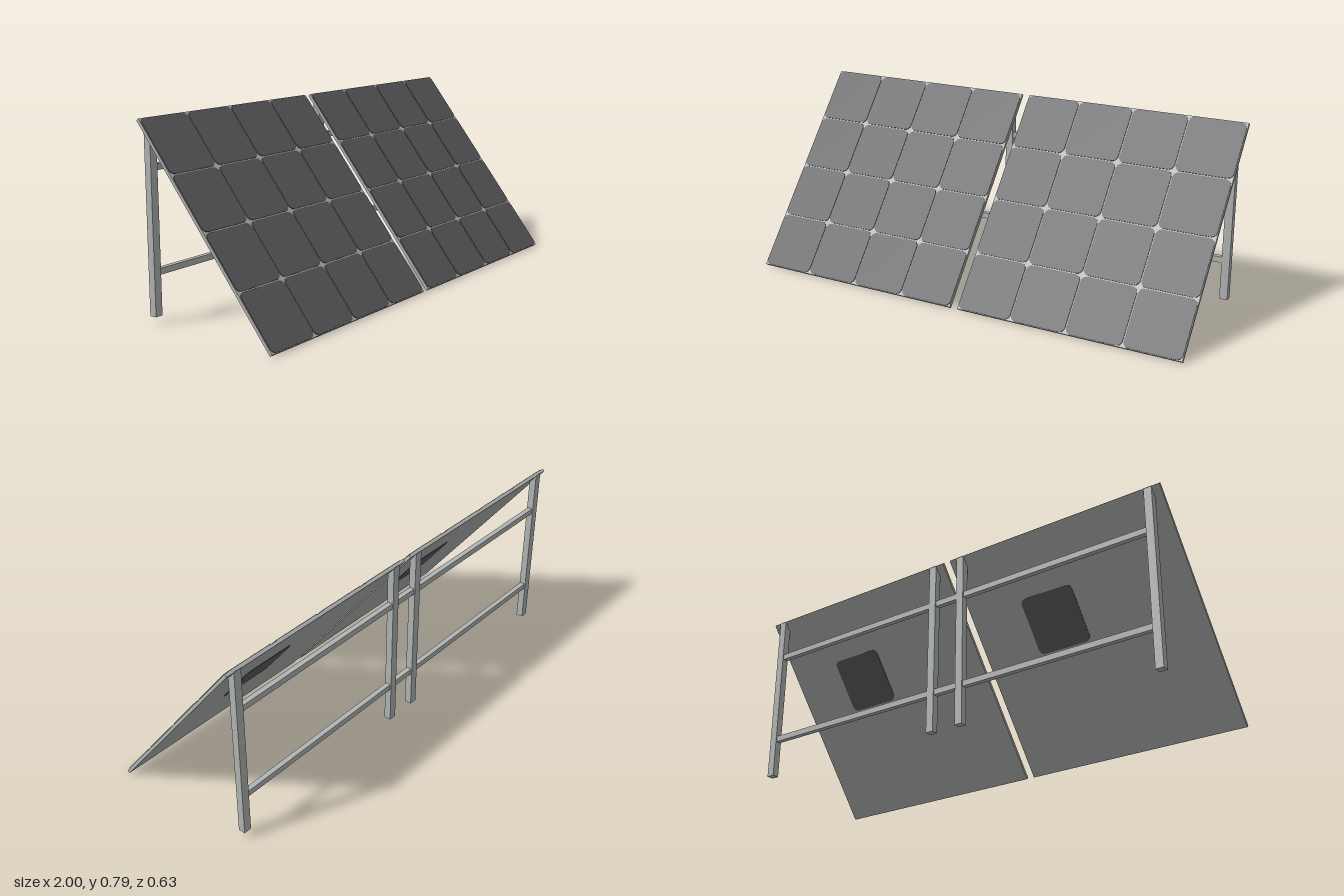
import * as THREE from 'three';

const WIDTH = 0.982, LENGTH = 0.991, THICK = 0.013, CELL = 0.003;
const COLS = 4, ROWS = 4, GAP = 0.005;
const TILT = THREE.MathUtils.degToRad(38.3);

// Rounded rectangle centred on the origin
function roundedRect(w, h, r) {
  const x = w / 2, y = h / 2, s = new THREE.Shape();
  s.absarc(x - r, y - r, r, 0, Math.PI / 2);
  s.absarc(-x + r, y - r, r, Math.PI / 2, Math.PI);
  s.absarc(-x + r, -y + r, r, Math.PI, Math.PI * 1.5);
  s.absarc(x - r, -y + r, r, Math.PI * 1.5, Math.PI * 2);
  s.closePath();
  return s;
}

export function createModel() {
  const model = new THREE.Group();
  model.name = 'solarArray';
  const metal = new THREE.MeshStandardMaterial({ color: 0xb0b4b2 });
  metal.name = 'grey metal';
  const dark = new THREE.MeshStandardMaterial({ color: 0x5e5e62 });
  dark.name = 'dark cell';

  const add = (parent, geometry, material, name, x, y, z) => {
    const mesh = new THREE.Mesh(geometry, material);
    mesh.name = name;
    mesh.position.set(x, y, z);
    parent.add(mesh);
    return mesh;
  };

  const pitchX = WIDTH / COLS, pitchY = LENGTH / ROWS;
  const slabGeo = new THREE.BoxGeometry(WIDTH, LENGTH, THICK);
  const cellGeo = new THREE.ExtrudeGeometry(
    roundedRect(pitchX - GAP, pitchY - GAP, 0.024),
    { depth: CELL, bevelEnabled: false, curveSegments: 4 });

  // Post with its top cut to the slope of the panel (profile in z and y)
  const profile = new THREE.Shape([
    new THREE.Vector2(0.313, 0.03), new THREE.Vector2(0.313, 0.78),
    new THREE.Vector2(0.283, 0.743), new THREE.Vector2(0.283, 0.03),
  ]);
  const postGeo = new THREE.ExtrudeGeometry(profile, { depth: 0.034, bevelEnabled: false });
  postGeo.translate(0, 0, -0.017);
  postGeo.rotateY(Math.PI / 2); // profile x becomes -z

  for (const side of [-1, 1]) {
    // Tilted panel
    const panel = new THREE.Group();
    panel.name = side > 0 ? 'leftPanel' : 'rightPanel';
    panel.position.set(side * 0.509, 0.394, 0);
    panel.rotation.x = -TILT;
    model.add(panel);
    add(panel, slabGeo, metal, 'panelSlab', 0, 0, -CELL / 2);

    // Grid of cells on the front face
    const front = THICK / 2 - CELL / 2;
    for (let c = 0; c < COLS; c++) {
      for (let r = 0; r < ROWS; r++) {
        add(panel, cellGeo, dark, 'cell',
          (c - (COLS - 1) / 2) * pitchX, (r - (ROWS - 1) / 2) * pitchY, front);
      }
    }
    // Single dark plate on the back face
    add(panel, cellGeo, dark, 'backPlate', pitchX / 2, pitchY / 2,
      -THICK / 2 - CELL / 2 - 0.002);

    // Two posts behind each panel
    for (const x of [0.071, 0.949]) add(model, postGeo, metal, 'post', side * x, 0, 0);
  }

  // Horizontal rails joining the posts
  for (const y of [0.2, 0.6]) {
    add(model, new THREE.BoxGeometry(1.89, 0.025, 0.022), metal, 'rail', 0, y, -0.298);
  }
  return model;
}
